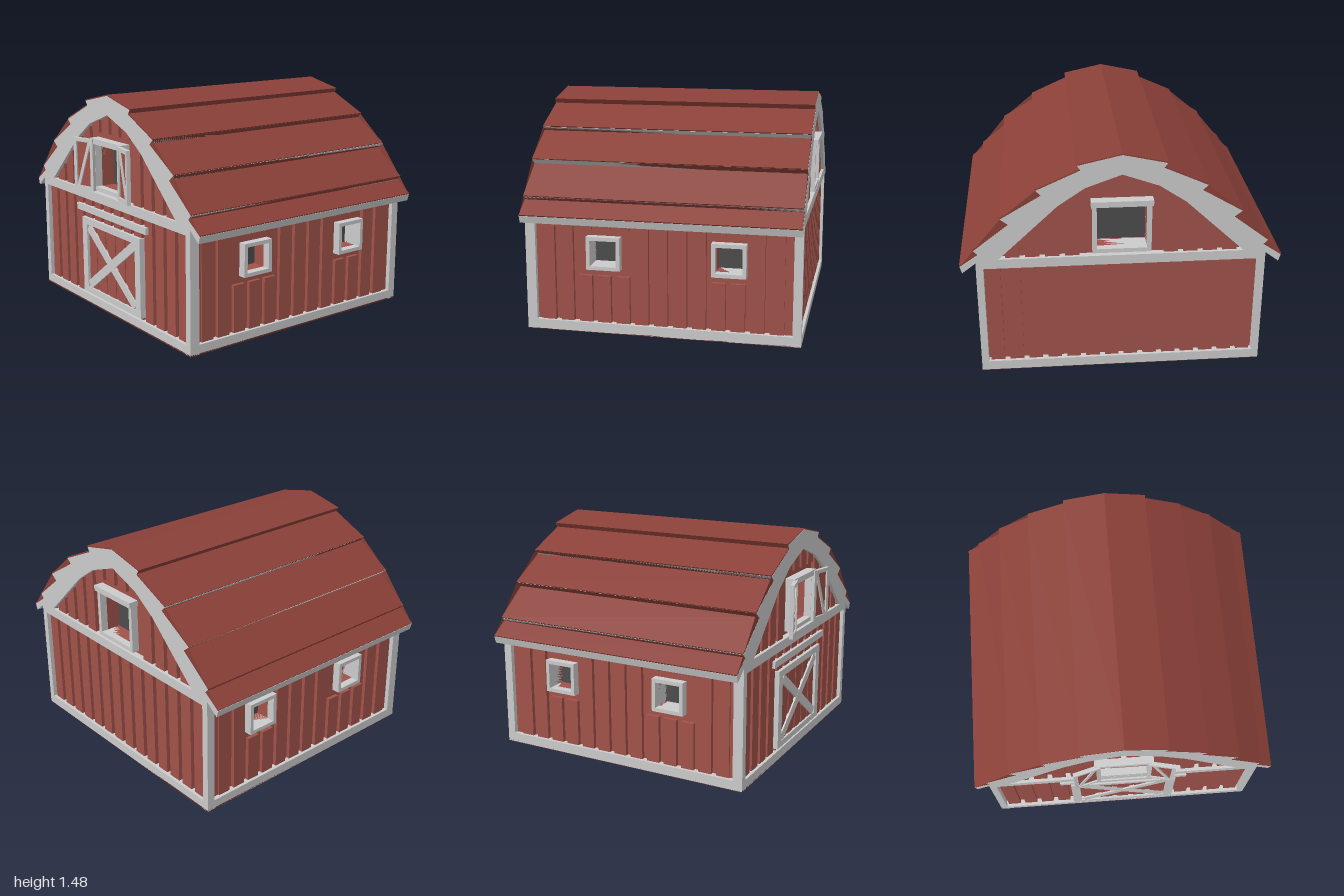
import * as THREE from 'three';
import { mergeGeometries } from 'three/addons/utils/BufferGeometryUtils.js';

const mat = (color) => new THREE.MeshStandardMaterial({ color, flatShading: true, side: THREE.DoubleSide });
const grey = mat(0xcccccc), red = mat(0xa0524a), roofRed = mat(0x8a4038), dark = mat(0x4c4c4c), floorRed = mat(0x6a342c);

const FRONT = 0.855, BACK = -0.91, SIDE = 0.9;
const PITCH = 0.1225, BOARD = 0.088;
const WALL = -0.045, BOARD_OUT = -0.02;

// right half of the stepped roof line and of the gable opening, ridge first
const ROOF = [[0, 1.48], [0.275, 1.42], [0.255, 1.39], [0.525, 1.268], [0.492, 1.236], [0.743, 1.087],
  [0.695, 1.05], [0.914, 0.88], [0.888, 0.852], [1, 0.775]];
const GABLE = [[0, 1.348], [0.225, 1.267], [0.39, 1.155], [0.76, 0.807]];

function add(parent, name, geometry, material) {
  const mesh = new THREE.Mesh(geometry, material);
  mesh.name = name;
  parent.add(mesh);
  return mesh;
}

// box given by its min and max on each axis
function span(x0, x1, y0, y1, z0, z1) {
  return new THREE.BoxGeometry(x1 - x0, y1 - y0, z1 - z0)
    .translate((x0 + x1) / 2, (y0 + y1) / 2, (z0 + z1) / 2);
}

const rect = (x0, x1, y0, y1) => [[x0, y0], [x1, y0], [x1, y1], [x0, y1]];
const mirror = (pts) => pts.map(([x, y]) => [-x, y]);
const toVec = (pts) => pts.map(([x, y]) => new THREE.Vector2(x, y));

// outline with optional holes, extruded from z0 to z1
function slab(points, holes, z0, z1) {
  const shape = new THREE.Shape(toVec(points));
  holes.forEach((h) => shape.holes.push(new THREE.Path(toVec(h))));
  return new THREE.ExtrudeGeometry(shape, { depth: z1 - z0, bevelEnabled: false }).translate(0, 0, z0);
}

// flat bar between two points
function bar(a, b, width, z0, z1) {
  const dx = b[0] - a[0], dy = b[1] - a[1];
  return new THREE.BoxGeometry(Math.hypot(dx, dy), width, z1 - z0)
    .rotateZ(Math.atan2(dy, dx))
    .translate((a[0] + b[0]) / 2, (a[1] + b[1]) / 2, (z0 + z1) / 2);
}

function gableHeight(u) {
  const x = Math.abs(u);
  for (let i = 1; i < GABLE.length; i++) {
    const [x0, y0] = GABLE[i - 1], [x1, y1] = GABLE[i];
    if (x <= x1) return y0 + (y1 - y0) * (x - x0) / (x1 - x0);
  }
  return 0.79;
}

// window: opening u0..u1, v0..v1 with border, lining and recessed pane
function addWindow(face, w) {
  const { u0, u1, v0, v1, border: b, out } = w;
  add(face, 'windowFrame', slab(rect(u0 - b, u1 + b, v0 - b, v1 + b), [rect(u0, u1, v0, v1)], WALL, out), grey);
  add(face, 'windowLining', slab(rect(u0 - 0.01, u1 + 0.01, v0 - 0.01, v1 + 0.01),
    [rect(u0, u1, v0, v1)], WALL - 0.1, WALL + 0.01), grey);
  add(face, 'windowPane', span(u0, u1, v0, v1, WALL - 0.1, WALL - 0.09), dark);
}

// one wall in its own frame: x along it, y up, z outward, trim at z = 0
function buildFace(name, u0, u1, outline, windows, phase, topAt) {
  const face = new THREE.Group();
  face.name = name;
  add(face, 'wall', slab(outline, windows.map((w) => rect(w.u0, w.u1, w.v0, w.v1)), WALL - 0.1, WALL), red);

  const boards = [];
  for (let k = -9; k <= 9; k++) {
    const a = phase + k * PITCH - BOARD / 2, b = a + BOARD;
    if (a < u0 || b > u1) continue;
    const top = Math.max(topAt(a), topAt(b)) + 0.01;
    const hit = windows.find((w) => b > w.u0 && a < w.u1);
    const parts = hit
      ? [[0.03, hit.v0 - hit.border - 0.045], [hit.v1 + hit.border + 0.045, top]] : [[0.03, top]];
    for (const [lo, hi] of parts) if (hi > lo) boards.push(span(a, b, lo, hi, WALL - 0.01, BOARD_OUT));
  }
  add(face, 'wallBoards', mergeGeometries(boards), red);
  windows.forEach((w) => addWindow(face, w));
  add(face, 'baseTrim', span(u0, u1, 0.003, 0.065, -0.06, 0), grey);
  return face;
}

function gableEnd(name) {
  const half = [[0.87, 0.02], [0.87, 0.79], [0.76, 0.84], [0.4, 1.18], [0.225, 1.3]];
  const outline = [...half, [0, 1.38], ...mirror(half).reverse()];
  const loft = { u0: -0.155, u1: 0.155, v0: 0.855, v1: 1.145, border: 0.027, out: 0.004 };
  const face = buildFace(name, -SIDE, SIDE, outline, [loft], PITCH / 2, gableHeight);
  add(face, 'eaveBand', span(-SIDE, SIDE, 0.745, 0.807, -0.06, 0), grey);
  add(face, 'windowHeader', span(-0.19, 0.19, 1.143, 1.18, WALL, 0.02), grey);
  return face;
}

function sideWall(name, dir) {
  // dir is the sign that turns z into the distance along the wall
  const [u0, u1] = [dir * FRONT, dir * BACK].sort((a, b) => a - b);
  const windows = [0.343, -0.457].map((z) => ({
    u0: dir * z - 0.085, u1: dir * z + 0.085, v0: 0.442, v1: 0.608, border: 0.024, out: 0.008,
  }));
  return buildFace(name, u0, u1, rect(u0 + 0.05, u1 - 0.05, 0.02, 0.8), windows, dir * 0.345, () => 0.78);
}

// sliding door with crossed braces and its rail
function barnDoor() {
  const door = new THREE.Group();
  door.name = 'barnDoor';
  add(door, 'doorPanel', span(-0.35, 0.35, 0.09, 0.6, WALL, -0.016), red);
  const planks = [];
  for (let i = -2; i <= 2; i++) planks.push(span(i * 0.12 - 0.042, i * 0.12 + 0.042, 0.1, 0.59, -0.02, -0.011));
  add(door, 'doorPlanks', mergeGeometries(planks), red);
  add(door, 'doorFrame', slab(rect(-0.36, 0.36, 0.08, 0.61), [rect(-0.3, 0.3, 0.12, 0.565)], WALL, 0.002), grey);
  for (const s of [-1, 1]) {
    add(door, 'doorBrace', bar([-0.285, 0.342 - s * 0.205], [0.285, 0.342 + s * 0.205], 0.06, -0.03, s * 0.0005 - 0.001), grey);
  }
  add(door, 'doorRail', span(-0.43, 0.43, 0.65, 0.695, WALL, 0), grey);
  return door;
}

// open shutter reaching along +x from its hinge
function shutter() {
  const g = new THREE.Group();
  g.name = 'shutter';
  add(g, 'shutterFrame', slab(rect(0, 0.178, 0.825, 1.172), [rect(0.026, 0.152, 0.85, 1.147)], 0, 0.026), grey);
  add(g, 'shutterPanel', span(0.02, 0.16, 0.84, 1.16, 0.009, 0.015), red);
  add(g, 'shutterBrace', bar([0.035, 1.15], [0.142, 0.85], 0.024, 0.003, 0.023), grey);
  return g;
}

function roof() {
  const g = new THREE.Group();
  g.name = 'roof';
  const inner = ROOF.map(([x, y]) => [x > 0 ? x - 0.005 : 0, y - 0.007]);
  const full = (half) => [...mirror(half).reverse(), ...half.slice(1)];
  add(g, 'roofPanels', slab([...full(ROOF), ...full(inner).reverse()], [], BACK + 0.001, FRONT - 0.001), roofRed);
  const outer = [...inner, [0.998, 0.768], [0.984, 0.722], [0.9, 0.786]];
  add(g, 'roofTrim', slab([...full(outer), ...full(GABLE).reverse()], [], BACK, FRONT), grey);
  return g;
}

export function createModel() {
  const model = new THREE.Group();
  model.name = 'barn';

  // walls
  const front = gableEnd('frontWall');
  front.position.z = FRONT;
  front.add(barnDoor());
  for (const s of [-1, 1]) {
    const leaf = shutter();
    leaf.position.set(s * 0.157, 0, 0.002);
    leaf.rotation.y = s < 0 ? -0.27 : -0.24;
    if (s < 0) leaf.scale.x = -1;
    leaf.rotation.y = -s * (s < 0 ? 0.25 : 0.21);
    front.add(leaf);
  }
  const back = gableEnd('backWall');
  back.position.z = BACK;
  back.rotation.y = Math.PI;
  const left = sideWall('leftWall', -1);
  left.position.x = SIDE;
  left.rotation.y = Math.PI / 2;
  const right = sideWall('rightWall', 1);
  right.position.x = -SIDE;
  right.rotation.y = -Math.PI / 2;
  model.add(front, back, left, right);

  // corner posts
  for (const s of [-1, 1]) {
    const [x0, x1] = s > 0 ? [0.855, SIDE] : [-SIDE, -0.855];
    add(model, 'frontCornerPost', span(x0, x1, 0.003, 0.79, 0.79, FRONT), grey);
    add(model, 'backCornerPost', span(x0, x1, 0.003, 0.79, BACK, -0.855), grey);
  }

  add(model, 'floor', span(-SIDE, SIDE, 0, 0.01, BACK, FRONT), floorRed);
  model.add(roof());
  return model;
}
